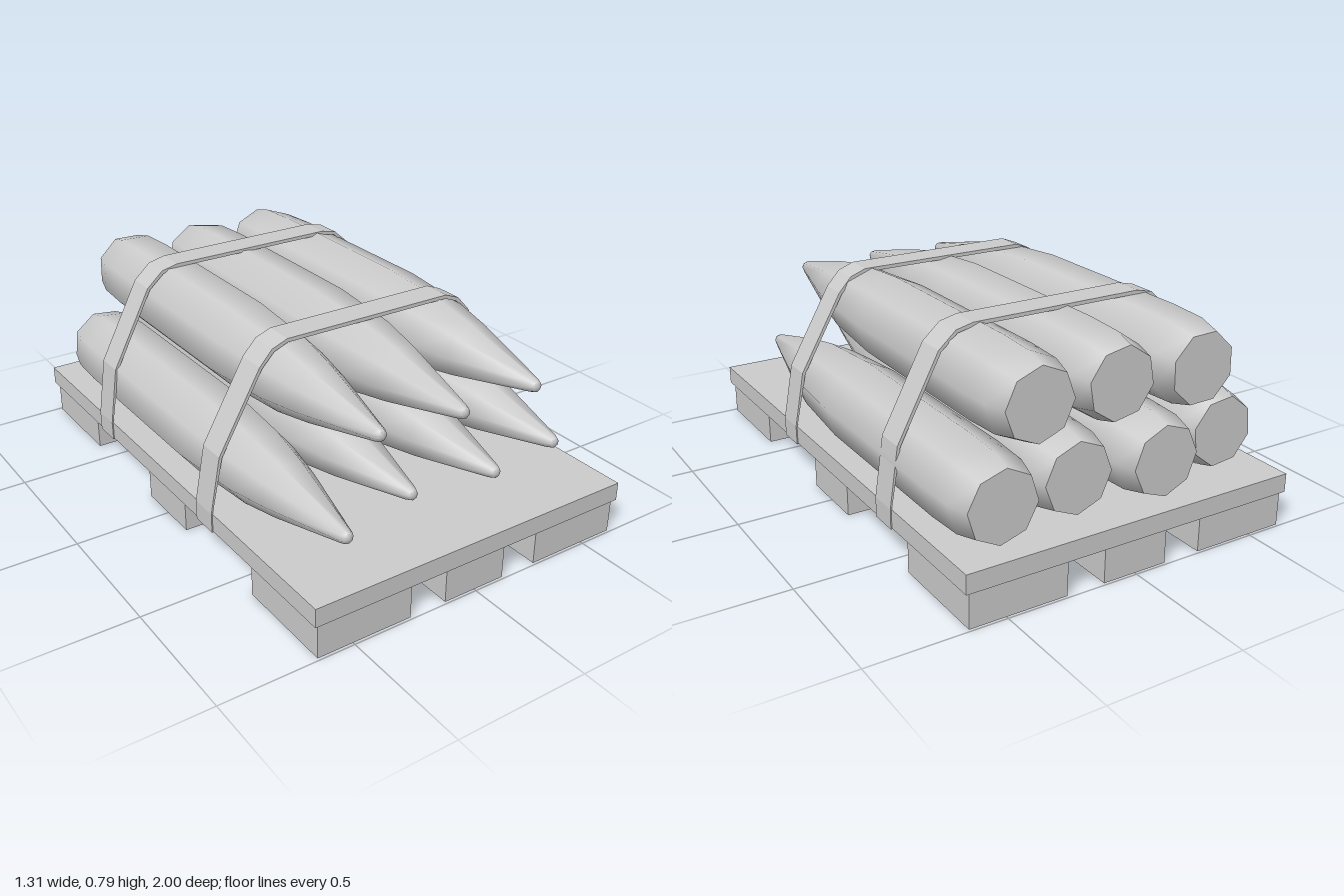
import * as THREE from 'three';
import { toCreasedNormals } from 'three/addons/utils/BufferGeometryUtils.js';

export function createModel() {
  const model = new THREE.Group();
  model.name = 'shellPallet';
  const material = new THREE.MeshStandardMaterial({ color: 0xcccccc });

  const add = (name, geometry, x = 0, y = 0, z = 0) => {
    const mesh = new THREE.Mesh(geometry, material);
    mesh.name = name;
    mesh.position.set(x, y, z);
    model.add(mesh);
    return mesh;
  };
  const box = (name, w, h, d, x, y, z) => add(name, new THREE.BoxGeometry(w, h, d), x, y, z);

  // Pallet: deck, a cross of two beams and four corner feet
  box('palletDeck', 1.3, 0.07, 2, 0, 0.165, 0);
  const cross = new THREE.Shape([
    [0.125, 0.99], [0.125, 0.14], [0.635, 0.14], [0.635, -0.14], [0.125, -0.14], [0.125, -0.99],
    [-0.125, -0.99], [-0.125, -0.14], [-0.635, -0.14], [-0.635, 0.14], [-0.125, 0.14], [-0.125, 0.99],
  ].map(([x, y]) => new THREE.Vector2(x, y)));
  const beams = new THREE.ExtrudeGeometry(cross, { depth: 0.13, bevelEnabled: false });
  beams.rotateX(-Math.PI / 2);
  add('palletCrossBeams', beams);
  for (const sx of [-1, 1]) {
    for (const sz of [-1, 1]) box('palletFoot', 0.365, 0.13, 0.39, sx * 0.4525, 0.065, sz * 0.795);
  }

  // Shell: eight-sided turned body, tail at z = 0 and nose towards +z
  const profile = [
    [0, 0], [0.13, 0], [0.153, 0.085], [0.157, 0.17], [0.16, 0.23], [0.16, 0.96],
    [0.137, 1.26], [0.105, 1.43], [0.026, 1.755], [0.019, 1.772], [0, 1.78],
  ].map(([r, l]) => new THREE.Vector2(r, l));
  let shell = new THREE.LatheGeometry(profile, 8);
  shell.rotateX(Math.PI / 2);
  shell = toCreasedNormals(shell, THREE.MathUtils.degToRad(50));

  // Stacked rows: x, y, tail z, roll in degrees
  const shells = [
    [-0.475, 0.345, -0.85, 16], [-0.155, 0.345, -0.935, -2],
    [0.165, 0.345, -0.89, 1], [0.475, 0.345, -0.93, 5],
    [-0.315, 0.63, -0.905, 21], [-0.005, 0.63, -0.875, 12], [0.315, 0.63, -0.885, 2],
  ];
  for (const [x, y, z, roll] of shells) {
    add('shell', shell, x, y, z).rotation.z = THREE.MathUtils.degToRad(roll);
  }

  // Straps: closed bands around the load and the deck
  const loop = (half) => [...half, ...half.slice().reverse().map(([x, y]) => [-x, y])]
    .map(([x, y]) => new THREE.Vector2(x, y));
  const strap = (name, outer, inner, z) => {
    const shape = new THREE.Shape(loop(outer));
    shape.holes.push(new THREE.Path(loop(inner)));
    const geometry = new THREE.ExtrudeGeometry(shape, { depth: 0.108, bevelEnabled: false });
    add(name, geometry, 0, 0, z - 0.054);
  };
  strap('frontStrap',
    [[0.654, 0.126], [0.654, 0.2], [0.615, 0.41], [0.45, 0.7], [0.4, 0.755], [0.34, 0.778]],
    [[0.648, 0.132], [0.648, 0.2], [0.604, 0.405], [0.44, 0.693], [0.392, 0.743], [0.338, 0.764]], 0.318);
  strap('rearStrap',
    [[0.654, 0.126], [0.654, 0.2], [0.622, 0.42], [0.465, 0.72], [0.4, 0.778], [0.335, 0.793]],
    [[0.648, 0.132], [0.648, 0.2], [0.611, 0.415], [0.455, 0.713], [0.394, 0.766], [0.333, 0.779]], -0.465);

  return model;
}
